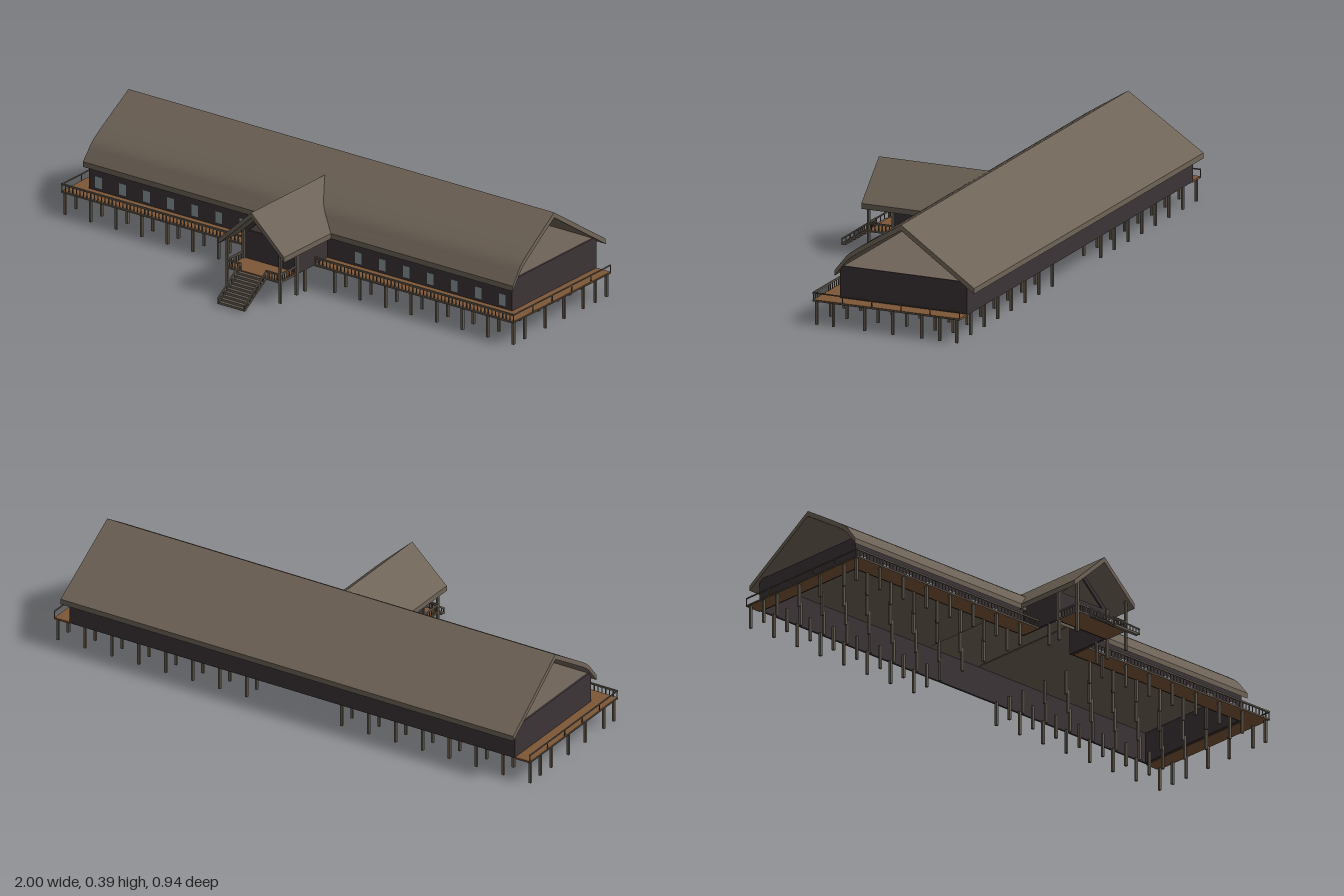
import * as THREE from 'three';
import { mergeGeometries, toCreasedNormals } from 'three/addons/utils/BufferGeometryUtils.js';

const mat = (name, color) => {
  const m = new THREE.MeshStandardMaterial({ color });
  m.name = name;
  return m;
};

// box given by its min and max on each axis
function box(x0, x1, y0, y1, z0, z1) {
  const g = new THREE.BoxGeometry(x1 - x0, y1 - y0, z1 - z0);
  return g.translate((x0 + x1) / 2, (y0 + y1) / 2, (z0 + z1) / 2);
}

// box on one side of the house: x0 and x1 are distances from the middle
const sideBox = (s, x0, x1, ...rest) => box(Math.min(s * x0, s * x1), Math.max(s * x0, s * x1), ...rest);

// straight bar between two points lying in a plane of constant x
function slopedBar(x, width, thick, y0, z0, y1, z1) {
  const g = new THREE.BoxGeometry(width, thick, Math.hypot(y1 - y0, z1 - z0));
  g.rotateX(-Math.atan2(y1 - y0, z1 - z0));
  return g.translate(x, (y0 + y1) / 2, (z0 + z1) / 2);
}

// curved front slope of the main roof as [z, y], from the eave to the ridge
const slope = new THREE.SplineCurve([[0.075, 0.195], [0.05, 0.227], [0.015, 0.266], [-0.075, 0.325], [-0.18, 0.39]]
  .map(([z, y]) => new THREE.Vector2(z, y))).getPoints(12).map(p => [p.x, p.y]);
const THICK = 0.02;

// z of the front slope at height y
function slopeZ(y) {
  for (let i = 0; i < slope.length - 1; i++) {
    const [z0, y0] = slope[i], [z1, y1] = slope[i + 1];
    if (y <= y1) return z0 + (z1 - z0) * Math.max(0, (y - y0) / (y1 - y0));
  }
  return -0.18;
}

// closed band: a line plus the same line lowered by the roof thickness
function bandShape(line) {
  const low = line.map(([a, b]) => [a, b - THICK]).reverse();
  return new THREE.Shape([...line, ...low].map(([a, b]) => new THREE.Vector2(a, b)));
}

function mainRoof() {
  const line = [...slope, [-0.47, 0.195]].map(([z, y]) => [-z, y]);
  const g = new THREE.ExtrudeGeometry(bandShape(line), { depth: 2, bevelEnabled: false });
  g.rotateY(Math.PI / 2).translate(-1, 0, 0);
  // the gable edges lean in slightly towards the ridge
  const p = g.attributes.position;
  for (let i = 0; i < p.count; i++) {
    p.setX(i, p.getX(i) * (0.95 - 0.05 * (p.getY(i) - 0.18)));
  }
  return toCreasedNormals(g, 0.5);
}

function porchRoof() {
  const line = [];
  for (let i = -6; i <= 6; i++) line.push([i * 0.145 / 6, 0.33 - Math.abs(i) * 0.135 / 6]);
  const g = new THREE.ExtrudeGeometry(bandShape(line), { depth: 1, bevelEnabled: false });
  // the back end follows the main roof slope
  const p = g.attributes.position;
  for (let i = 0; i < p.count; i++) {
    p.setZ(i, p.getZ(i) > 0.5 ? 0.35 : slopeZ(p.getY(i)) - 0.006);
  }
  g.computeVertexNormals();
  return g;
}

// straight railing along x or z: two rails and balusters at the given spacing
function railing(x0, z0, x1, z1, spacing, h) {
  const parts = [];
  for (const y of [0.088, 0.117]) {
    parts.push(box(Math.min(x0, x1) - h, Math.max(x0, x1) + h, y - h, y + h, Math.min(z0, z1) - h, Math.max(z0, z1) + h));
  }
  const n = Math.round(Math.hypot(x1 - x0, z1 - z0) / spacing);
  for (let i = 0; i <= n; i++) {
    const x = x0 + (x1 - x0) * i / n, z = z0 + (z1 - z0) * i / n;
    parts.push(box(x - 0.0015, x + 0.0015, 0.088, 0.117, z - 0.0015, z + 0.0015));
  }
  return parts;
}

export function createModel() {
  const group = new THREE.Group();
  group.name = 'longhouse';
  const roofMat = mat('roofShingle', 0x6e6357);
  const wallMat = mat('darkWall', 0x3c3436);
  const deckMat = mat('deckBoards', 0x7e5737);
  const timberMat = mat('timber', 0x665d52);
  const glassMat = mat('windowGlass', 0x8b989b);
  const add = (name, geos, material) => {
    const m = new THREE.Mesh(mergeGeometries(geos.map(g => g.index ? g.toNonIndexed() : g)), material);
    m.name = name;
    group.add(m);
  };

  add('mainRoof', [mainRoof()], roofMat);
  add('porchRoof', [porchRoof()], roofMat);

  // walls, ceilings of the two wings, and the entrance hall between them
  const t = 0.008, walls = [box(-0.935, 0.935, 0.088, 0.21, -0.435, -0.435 + t)];
  const entrance = [box(-0.12, 0.12, 0.088, 0.2, 0.235 - t, 0.235)];
  const ceilings = [];
  for (const s of [-1, 1]) {
    walls.push(sideBox(s, 0.935 - t, 0.935, 0.088, 0.21, -0.435, 0.06));
    walls.push(sideBox(s, 0.112, 0.935, 0.088, 0.21, 0.06 - t, 0.06));
    entrance.push(sideBox(s, 0.12 - t, 0.12, 0.088, 0.2, 0.05, 0.235));
    ceilings.push(sideBox(s, 0.12, 0.934, 0.205, 0.2095, -0.434, 0.055));
  }
  // boards under the porch gable
  const boards = new THREE.ExtrudeGeometry(bandShape([[-0.12, 0.199], [0, 0.311], [0.12, 0.199]]), { depth: t, bevelEnabled: false });
  entrance.push(boards.translate(0, 0, 0.235 - t));
  add('houseWalls', walls, wallMat);
  add('entranceWalls', entrance, wallMat);
  add('ceilings', ceilings, roofMat);

  // windows of the front wall, showing on both faces
  const panes = [];
  for (const s of [-1, 1]) {
    for (let i = 0; i < 7; i++) {
      const x = s * (0.255 + i * 0.106);
      panes.push(box(x - 0.015, x + 0.015, 0.102, 0.145, 0.0515, 0.0605));
    }
  }
  add('windows', panes, glassMat);

  // walkway around the front and the ends, and the porch floor
  const deck = [box(-0.116, 0.116, 0.085, 0.092, 0.235, 0.337)];
  for (const s of [-1, 1]) {
    deck.push(sideBox(s, 0.12, 0.997, 0.085, 0.092, 0.06, 0.135));
    deck.push(sideBox(s, 0.935, 0.997, 0.085, 0.092, -0.435, 0.06));
  }
  add('deck', deck, deckMat);

  // stilts in a grid below the wings, with a pair below the entrance
  const stilts = [], w = 0.0046;
  for (const s of [-1, 1]) {
    for (const z of [0.125, 0.06, -0.062, -0.172, -0.285, -0.355, -0.422]) {
      for (let i = 0; i < 8; i++) {
        const x = s * (0.2 + i * 0.1128);
        stilts.push(box(x - w, x + w, 0, 0.09, z - w, z + w));
      }
    }
    stilts.push(box(s * 0.115 - w, s * 0.115 + w, 0.005, 0.09, 0.187 - w, 0.187 + w));
  }
  add('stilts', stilts, timberMat);

  // tall posts carrying the porch roof
  const posts = [];
  for (const s of [-1, 1]) {
    for (const z of [0.239, 0.335]) posts.push(box(s * 0.117 - w, s * 0.117 + w, 0.008, 0.2, z - w, z + w));
    posts.push(box(s * 0.058 - w / 2, s * 0.058 + w / 2, 0.085, 0.12, 0.333, 0.339));
  }
  add('porchPosts', posts, timberMat);

  // railings, lighter at the two ends of the house
  const rails = [];
  for (const s of [-1, 1]) {
    rails.push(...railing(s * 0.123, 0.135, s * 0.997, 0.135, 0.016, 0.003));
    rails.push(...railing(s * 0.997, 0.135, s * 0.997, -0.435, 0.114, 0.002));
    rails.push(...railing(s * 0.117, 0.24, s * 0.117, 0.337, 0.013, 0.003));
    rails.push(...railing(s * 0.117, 0.337, s * 0.058, 0.337, 0.013, 0.003));
  }
  add('railings', rails, timberMat);

  // entrance steps with sloping handrails
  const steps = [];
  for (let i = 0; i < 10; i++) {
    const z = 0.338 + i * 0.0128, y = 0.088 - i * 0.0083;
    steps.push(box(-0.056, 0.056, y - 0.0085, y, z, z + 0.0128));
  }
  add('steps', steps, timberMat);
  const stepRails = [];
  for (const s of [-1, 1]) {
    const x = s * 0.058;
    stepRails.push(slopedBar(x, 0.005, 0.006, 0.117, 0.337, 0.026, 0.468));
    stepRails.push(slopedBar(x, 0.005, 0.006, 0.09, 0.337, 0.008, 0.468));
    for (let i = 0; i <= 8; i++) {
      const f = i / 8, z = 0.34 + f * 0.126;
      stepRails.push(box(x - 0.0015, x + 0.0015, 0.088 - f * 0.08, 0.115 - f * 0.088, z - 0.0015, z + 0.0015));
    }
  }
  add('stepRailings', stepRails, timberMat);

  return group;
}
